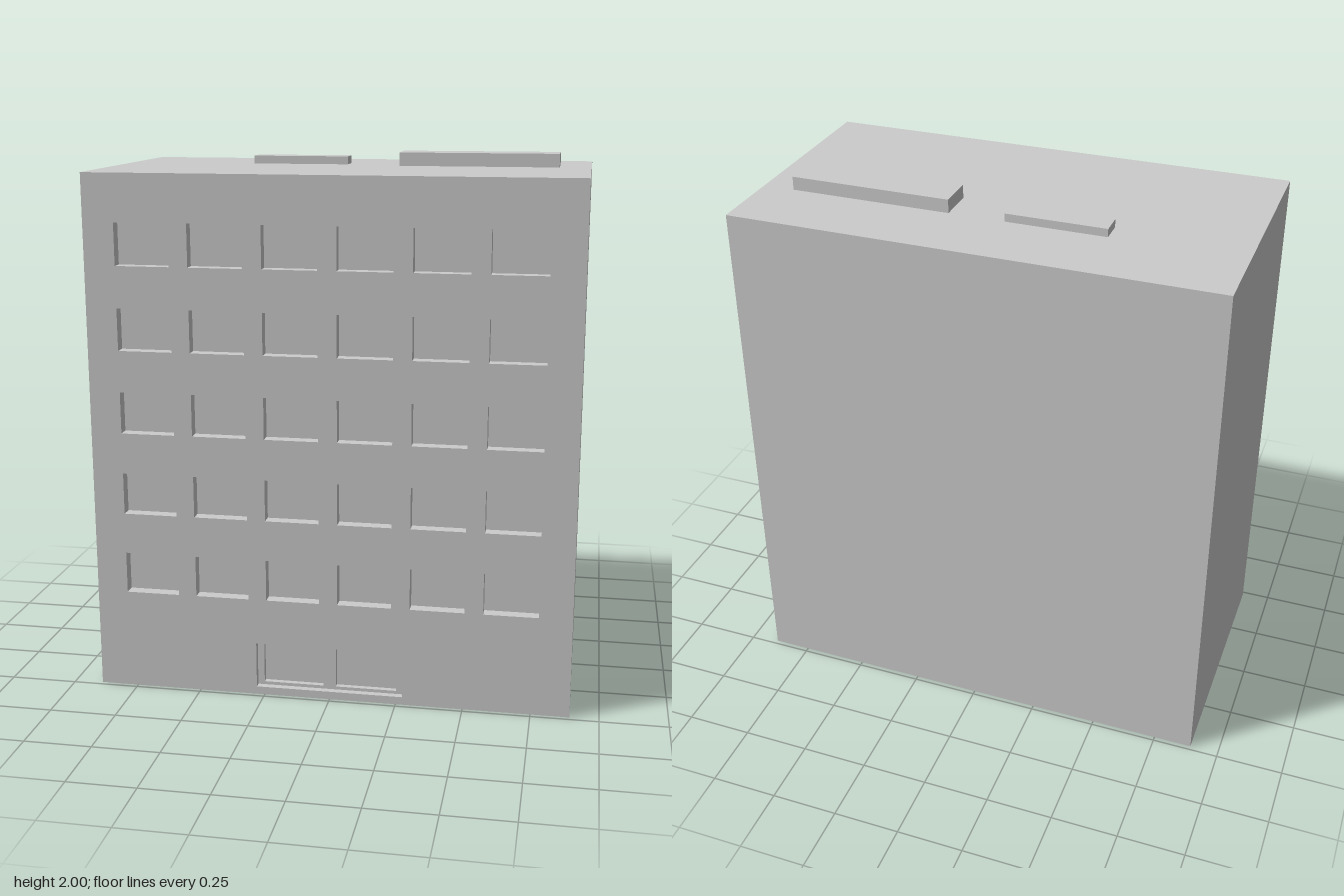
import * as THREE from 'three';

const W = 1.786, FRONT = 0.483, BACK = -0.483;
const WALL_TOP = 1.845, ROOF_TOP = 1.95;
const RECESS = 0.045; // how far the glass sits behind the facade

export function createModel() {
  const model = new THREE.Group();
  model.name = 'apartmentBlock';
  const wallMat = new THREE.MeshStandardMaterial({ color: 0xcccccc });
  const glassMat = new THREE.MeshStandardMaterial({ color: 0xdddddd });

  const add = (name, geometry, material = wallMat) => {
    const mesh = new THREE.Mesh(geometry, material);
    mesh.name = name;
    model.add(mesh);
    return mesh;
  };
  // Box given by its lower and upper limits
  const box = (name, x0, x1, y0, y1, z0, z1, material) =>
    add(name, new THREE.BoxGeometry(x1 - x0, y1 - y0, z1 - z0), material)
      .position.set((x0 + x1) / 2, (y0 + y1) / 2, (z0 + z1) / 2);
  // Upright plate with rectangular openings, each rect is [x0, x1, y0, y1]
  const trace = (path, [x0, x1, y0, y1]) =>
    path.moveTo(x0, y0).lineTo(x1, y0).lineTo(x1, y1).lineTo(x0, y1).closePath();
  const plate = (name, rect, openings, z0, z1) => {
    const shape = trace(new THREE.Shape(), rect);
    openings.forEach((o) => shape.holes.push(trace(new THREE.Path(), o)));
    const geometry = new THREE.ExtrudeGeometry(shape, { depth: z1 - z0, bevelEnabled: false });
    add(name, geometry).position.z = z0;
  };
  // Flat pane filling an opening
  const pane = (name, [x0, x1, y0, y1], z) =>
    add(name, new THREE.PlaneGeometry(x1 - x0, y1 - y0), glassMat)
      .position.set((x0 + x1) / 2, (y0 + y1) / 2, z);

  // Five floors of six windows
  const windows = [];
  for (let floor = 0; floor < 5; floor++) {
    for (let col = 0; col < 6; col++) {
      const x = -0.677 + col * 0.2694, y = 0.457 + floor * 0.31;
      windows.push([x - 0.1005, x + 0.1005, y - 0.078, y + 0.078]);
    }
  }
  const entrance = [-0.28, 0.275, 0.03, 0.205];
  const doors = [[-0.255, -0.028, 0.042, 0.195], [0.02, 0.249, 0.042, 0.195]];

  // Main block and pierced front wall
  const wallBack = FRONT - RECESS - 0.005;
  box('mainBlock', -W / 2, W / 2, 0, WALL_TOP, BACK, wallBack);
  plate('facade', [-W / 2, W / 2, 0, WALL_TOP], [...windows, entrance], wallBack, FRONT);
  windows.forEach((w) => pane('windowPane', w, FRONT - RECESS));

  // Entrance frame set back inside its opening
  plate('entranceFrame', entrance, doors, wallBack, FRONT - 0.025);
  doors.forEach((d) => pane('entrancePane', d, FRONT - RECESS));

  // Roof slab and rooftop units
  box('roofSlab', -W / 2, W / 2, WALL_TOP, ROOF_TOP, BACK, FRONT);
  box('smallRoofUnit', -0.405, -0.035, ROOF_TOP, 1.98, -0.205, -0.12);
  box('largeRoofUnit', 0.173, 0.775, ROOF_TOP, 2, -0.205, -0.065);

  return model;
}
